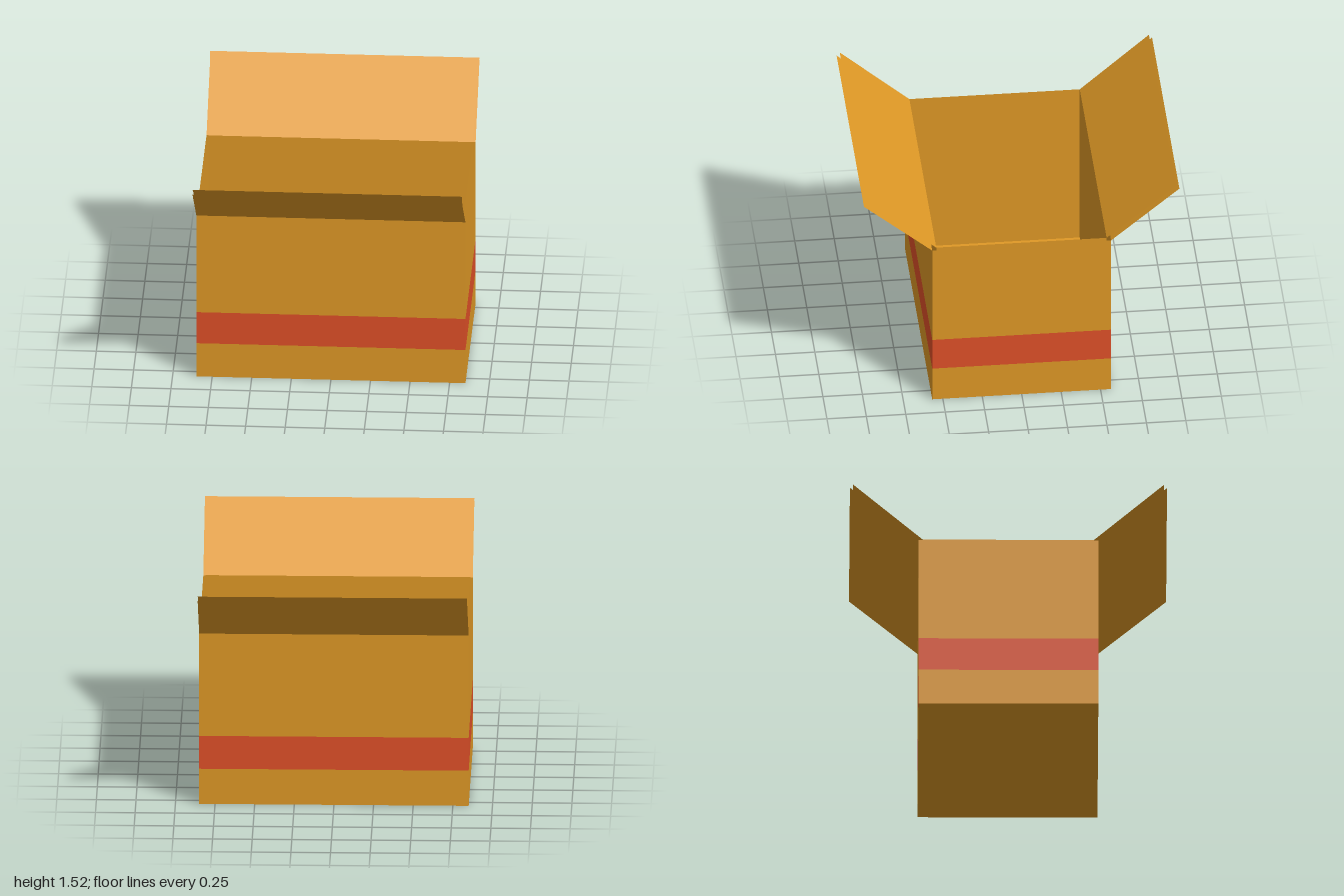
import * as THREE from 'three';

const cardboard = new THREE.MeshStandardMaterial({ color: 0xdf9926, side: THREE.DoubleSide });
cardboard.name = 'cardboard';
const tape = new THREE.MeshStandardMaterial({ color: 0xe05028, side: THREE.DoubleSide });
tape.name = 'red stripe';

// Outer shell, inner lining and stripe dimensions
const OUT = { x: 0.85, z: 0.567, bottom: 0, top: 1.135 };
const INN = { x: 0.835, z: 0.54, bottom: 0.015, top: 1.146 };
const STRIPE = [0.234, 0.453];

// A flat four-cornered sheet, corners counter-clockwise from its front
function sheet(name, corners, material) {
  const [a, b, c, d] = corners;
  const geometry = new THREE.BufferGeometry();
  geometry.setAttribute('position', new THREE.Float32BufferAttribute([a, b, c, a, c, d].flat(), 3));
  geometry.computeVertexNormals();
  const mesh = new THREE.Mesh(geometry, material);
  mesh.name = name;
  return mesh;
}

// Four upright sheets around a rectangle, between two heights
function ring(name, { x, z }, y0, y1, material, inward = false) {
  const group = new THREE.Group();
  group.name = name;
  const plan = [[-x, z], [x, z], [x, -z], [-x, -z]];
  const sides = ['Front', 'Left', 'Back', 'Right'];
  plan.forEach(([ax, az], i) => {
    const [bx, bz] = plan[(i + 1) % 4];
    const corners = [[ax, y0, az], [bx, y0, bz], [bx, y1, bz], [ax, y1, az]];
    group.add(sheet(name + sides[i], inward ? corners.reverse() : corners, material));
  });
  return group;
}

// Level sheet facing up or down
function floor(name, { x, z, bottom: y }, up) {
  const corners = [[-x, y, z], [x, y, z], [x, y, -z], [-x, y, -z]];
  return sheet(name, up ? corners : corners.reverse(), cardboard);
}

// Open flap: an outer and an inner sheet rising away from the rim
function flap(name) {
  const group = new THREE.Group();
  group.name = name;
  const make = (label, rim, tipY, tipZ, reverse) => {
    const corners = [
      [-rim.x, rim.top, rim.z], [rim.x, rim.top, rim.z],
      [OUT.x, tipY, tipZ], [-OUT.x, tipY, tipZ],
    ];
    group.add(sheet(label, reverse ? corners.reverse() : corners, cardboard));
  };
  make(name + 'Outside', OUT, 1.5, 1, true);
  make(name + 'Inside', INN, 1.522, 0.98, false);
  // Outside faces down and out, inside faces up and in
  return group;
}

export function createModel() {
  const box = new THREE.Group();
  box.name = 'openCardboardBox';

  // Outer walls, with the stripe as its own band
  box.add(ring('lowerWall', OUT, OUT.bottom, STRIPE[0], cardboard));
  box.add(ring('stripe', OUT, STRIPE[0], STRIPE[1], tape));
  box.add(ring('upperWall', OUT, STRIPE[1], OUT.top, cardboard));
  box.add(floor('underside', OUT, false));

  // Inner lining
  box.add(ring('lining', INN, INN.bottom, INN.top, cardboard, true));
  box.add(floor('insideFloor', INN, true));

  // Long flaps at the front and back
  box.add(flap('frontFlap'));
  const back = flap('backFlap');
  back.rotation.y = Math.PI;
  box.add(back);

  return box;
}
